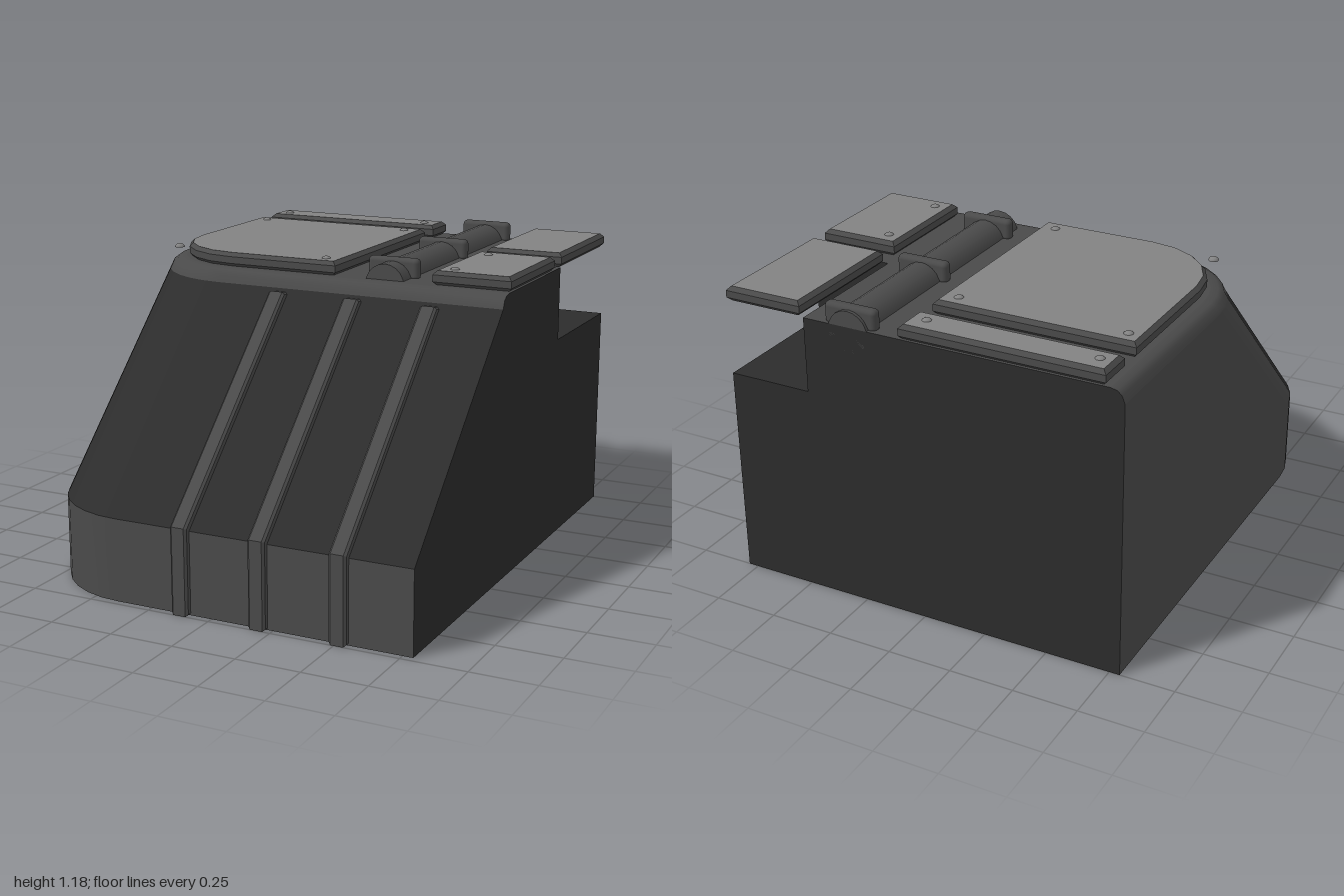
import * as THREE from 'three';
import { RoundedBoxGeometry } from 'three/addons/geometries/RoundedBoxGeometry.js';

const X = 0.79, R = 0.39, SEG = 8;
const mat = (name, color) => {
  const m = new THREE.MeshStandardMaterial({ color, side: THREE.DoubleSide });
  m.name = name;
  return m;
};

// body levels: [height, front z, inset from the left edge]
const LEVELS = [[0, 0.975, 0], [0.32, 0.975, 0], [1.06, 0.19, 0], [1.09, 0.178, 0.012], [1.105, 0.158, 0.03], [1.11, 0.13, 0.055]];
const NOTCH = { x: 0.46, z: -0.44, y: 0.82 };

// plan outline from back left, round the front corner, to front right
function outline([, zf, inset]) {
  const r = R - inset * 0.5, pts = [[-X + inset, -1]];
  for (let i = 0; i <= SEG; i++) {
    const a = (i / SEG) * Math.PI / 2;
    pts.push([-X + inset + r * (1 - Math.cos(a)), zf - r + r * Math.sin(a)]);
  }
  pts.push([X, zf]);
  return pts;
}

// skin through several levels, smooth within itself
function skin(levels) {
  const pos = [], idx = [], n = SEG + 3;
  for (const l of levels) for (const [x, z] of outline(l)) pos.push(x, l[0], z);
  for (let j = 0; j < levels.length - 1; j++)
    for (let i = 0; i < n - 1; i++) {
      const a = j * n + i, b = a + n;
      idx.push(a, a + 1, b, a + 1, b + 1, b);
    }
  const g = new THREE.BufferGeometry();
  g.setAttribute('position', new THREE.Float32BufferAttribute(pos, 3));
  g.setIndex(idx);
  g.computeVertexNormals();
  return g;
}

const shape = (pts) => new THREE.Shape(pts.map(([a, b]) => new THREE.Vector2(a, b)));
// points given as [x, z], [z, y] and [x, y]
const flatXZ = (pts, y) => new THREE.ShapeGeometry(shape(pts.map(([x, z]) => [x, -z]))).rotateX(-Math.PI / 2).translate(0, y, 0);
const flatZY = (pts, x) => new THREE.ShapeGeometry(shape(pts.map(([z, y]) => [-z, y]))).rotateY(Math.PI / 2).translate(x, 0, 0);
const flatXY = (pts, z) => new THREE.ShapeGeometry(shape(pts.map(([x, y]) => [-x, y]))).rotateY(Math.PI).translate(0, 0, z);

export function createModel() {
  const root = new THREE.Group();
  root.name = 'armouredCorner';
  const dark = mat('darkHull', 0x2c2c2c);
  const grey = mat('greyTrim', 0x4a4a4a);
  const light = mat('lightPlate', 0x828282);
  const add = (name, geo, material, parent = root) => {
    const m = new THREE.Mesh(geo, material);
    m.name = name;
    parent.add(m);
    return m;
  };

  // outer skin: lower band, sloped face and rounded rim
  add('lowerBand', skin(LEVELS.slice(0, 2)), grey);
  const slope = skin(LEVELS.slice(1, 3));
  slope.addGroup(0, 18, 0);
  slope.addGroup(18, Infinity, 1);
  add('slopedFace', slope, [grey, dark]);
  add('roundedRim', skin(LEVELS.slice(2)), grey);

  // flat caps with the notch cut out of the back corner
  const top = LEVELS[LEVELS.length - 1], H = top[0];
  add('topDeck', flatXZ([...outline(top), [X, NOTCH.z], [NOTCH.x, NOTCH.z], [NOTCH.x, -1]], H), grey);
  add('underside', flatXZ([...outline(LEVELS[0]), [X, -1]], 0).scale(1, -1, 1), dark).geometry.index.array.reverse();
  root.getObjectByName('underside').geometry.computeVertexNormals();
  add('sideCap', flatZY([[-1, 0], ...LEVELS.map(([y, z]) => [z, y]), [NOTCH.z, H], [NOTCH.z, NOTCH.y], [-1, NOTCH.y]], X), dark);
  add('backCap', flatXY([[X, 0], ...LEVELS.map(([y, , i]) => [-X + i, y]), [NOTCH.x, H], [NOTCH.x, NOTCH.y], [X, NOTCH.y]], -1), dark);
  add('notchFloor', flatXZ([[NOTCH.x, -1], [X, -1], [X, NOTCH.z], [NOTCH.x, NOTCH.z]], NOTCH.y), dark);
  add('notchSide', flatZY([[-1, NOTCH.y], [NOTCH.z, NOTCH.y], [NOTCH.z, H], [-1, H]], NOTCH.x), grey);
  add('notchFront', flatXY([[NOTCH.x, NOTCH.y], [X, NOTCH.y], [X, H], [NOTCH.x, H]], NOTCH.z), dark);

  // ribs running up the front and the slope
  const ribShape = shape([[-0.95, 0], [-1, 0], [-1, 0.335], [-0.235, 1.055], [-0.205, 1.05], [-0.2, 1.02], [-0.95, 0.3]]);
  for (const x of [-0.12, 0.195, 0.512]) {
    const g = new THREE.ExtrudeGeometry(ribShape, {
      depth: 0.05, bevelEnabled: true, bevelSize: 0.008, bevelOffset: -0.008, bevelThickness: 0.009, bevelSegments: 1,
    }).rotateY(Math.PI / 2).translate(x - 0.025, 0, 0);
    add('frontRib', g, grey);
  }

  // bevelled deck plates
  const plate = (name, pts) => {
    const g = new THREE.ExtrudeGeometry(shape(pts.map(([x, z]) => [x, -z])), {
      depth: 0.027, bevelEnabled: true, bevelSize: 0.015, bevelOffset: -0.015, bevelThickness: 0.015, bevelSegments: 1,
    }).rotateX(-Math.PI / 2).translate(0, 1.122, 0);
    add(name, g, [light, grey]);
  };
  const rect = (x0, x1, z0, z1) => [[x0, z0], [x0, z1], [x1, z1], [x1, z0]];
  const corner = [];
  for (let i = 0; i <= 5; i++) {
    const a = (i / 5) * Math.PI / 2;
    corner.push([-0.72 + 0.33 * (1 - Math.cos(a)), -0.22 + 0.33 * Math.sin(a)]);
  }
  plate('roundedPlate', [[-0.72, -0.765], ...corner, [0.07, 0.11], [0.07, -0.765]]);
  plate('rearPlate', rect(-0.72, 0.07, -1, -0.855));
  plate('overhangPlate', rect(0.475, X, -1, -0.45));
  plate('sidePlate', rect(0.475, X, -0.37, 0.11));

  // rivets
  const rivet = new THREE.SphereGeometry(0.02, 10, 4, 0, Math.PI * 2, 0, Math.PI / 2).scale(1, 0.75, 1);
  const rivets = [[-0.66, -0.7], [0, -0.7], [0, 0.045], [-0.66, 0.045], [-0.66, -0.92], [0, -0.92], [0.54, -0.3], [0.54, 0.045]];
  for (const [x, z] of rivets) add('rivet', rivet, light).position.set(x, 1.158, z);

  // half-sunk pipe with clamps
  const pipe = new THREE.CylinderGeometry(0.08, 0.08, 1.1, 20).rotateX(Math.PI / 2).translate(0.275, 1.092, -0.45);
  add('pipe', pipe, grey);
  for (const z of [0.005, -0.48, -0.965])
    add('pipeClamp', new RoundedBoxGeometry(0.21, 0.085, 0.045, 2, 0.018), grey).position.set(0.275, 1.142, z);

  return root;
}
